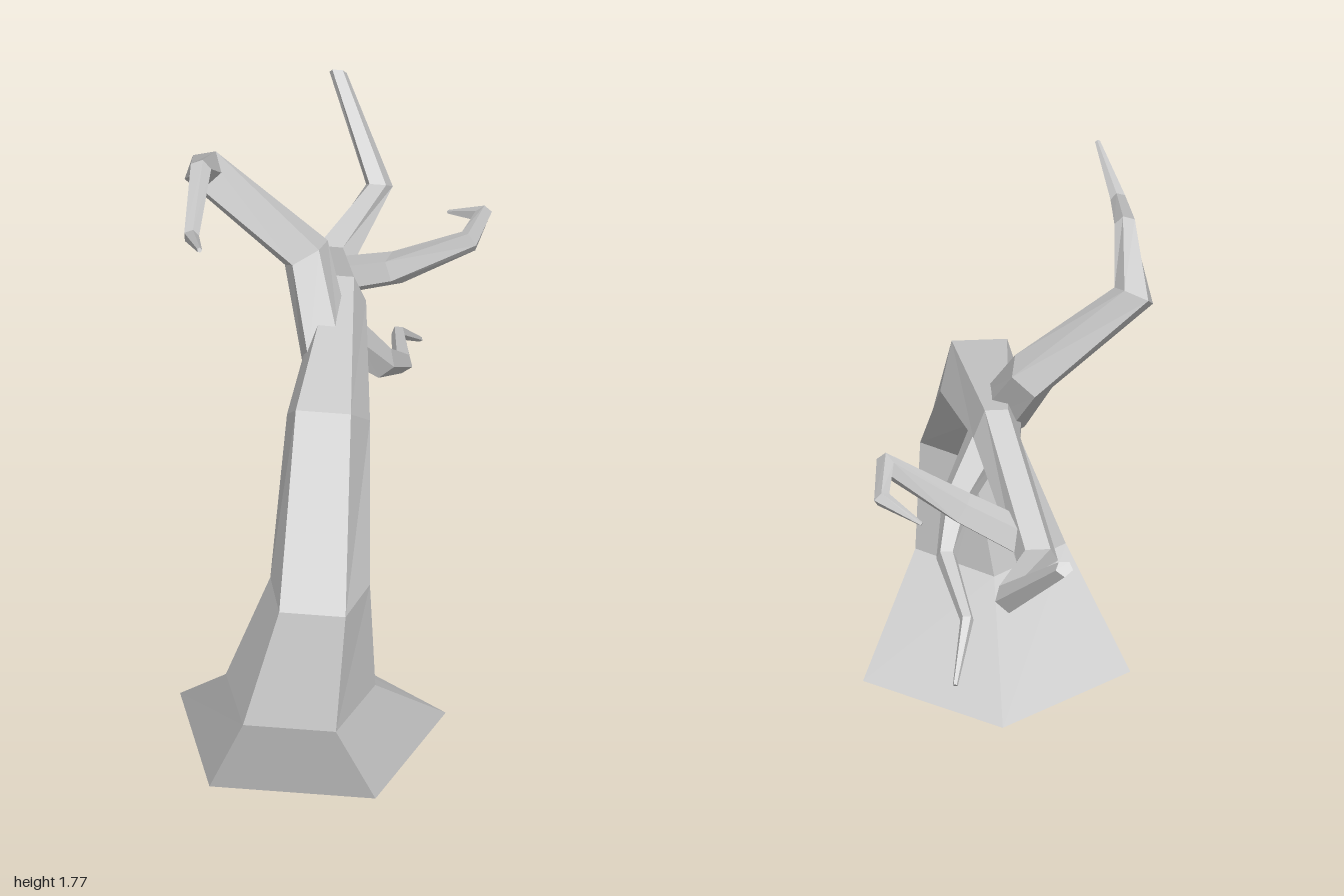
import * as THREE from 'three';

const SIDES = 5;

// Skin a list of five-cornered rings and close both ends
function skin(name, rings) {
  const pos = [];
  const tri = (a, b, c) => [a, b, c].forEach(p => pos.push(p.x, p.y, p.z));
  for (let r = 0; r < rings.length - 1; r++) {
    const a = rings[r], b = rings[r + 1];
    for (let i = 0; i < SIDES; i++) {
      const j = (i + 1) % SIDES;
      tri(a[i], a[j], b[j]);
      tri(a[i], b[j], b[i]);
    }
  }
  const first = rings[0], last = rings[rings.length - 1];
  for (let i = 1; i < SIDES - 1; i++) {
    tri(first[0], first[i + 1], first[i]);
    tri(last[0], last[i], last[i + 1]);
  }
  const geo = new THREE.BufferGeometry();
  geo.setAttribute('position', new THREE.Float32BufferAttribute(pos, 3));
  geo.computeVertexNormals();
  const mesh = new THREE.Mesh(geo, new THREE.MeshStandardMaterial({ color: 0xcccccc, flatShading: true }));
  mesh.name = name;
  return mesh;
}

// Tapered, kinked branch through points [x, y, z, radius]
function branch(name, points, hint) {
  const p = points.map(q => new THREE.Vector3(q[0], q[1], q[2]));
  const normal = new THREE.Vector3(...hint);
  const rings = p.map((c, k) => {
    const t = new THREE.Vector3();
    if (k > 0) t.add(c.clone().sub(p[k - 1]).normalize());
    if (k < p.length - 1) t.add(p[k + 1].clone().sub(c).normalize());
    t.normalize();
    normal.addScaledVector(t, -normal.dot(t)).normalize();
    const side = new THREE.Vector3().crossVectors(t, normal);
    return Array.from({ length: SIDES }, (_, i) => {
      const a = ((i - 0.5) / SIDES) * Math.PI * 2;
      return c.clone()
        .addScaledVector(normal, Math.cos(a) * points[k][3])
        .addScaledVector(side, Math.sin(a) * points[k][3]);
    });
  });
  return skin(name, rings);
}

export function createModel() {
  const tree = new THREE.Group();
  tree.name = 'bareTree';

  // Trunk bending back into the main limb:
  // centre x, outer half width, outer y, z, side half width, side y, z, inner y, z
  const trunkRings = [
    [0.01, 0.25, 0, 0.93, 0.4, 0, 0.455, 0, 0.17],
    [0.01, 0.14, 0.28, 1.0, 0.225, 0.28, 0.74, 0.28, 0.57],
    [0.07, 0.1, 0.65, 0.93, 0.15, 0.65, 0.75, 0.65, 0.64],
    [0.055, 0.083, 1.13, 0.56, 0.125, 1.03, 0.44, 0.97, 0.37],
    [0.04, 0.035, 1.24, 0, 0.07, 1.15, -0.01, 1.1, 0],
    [-0.055, 0.038, 1.03, -0.45, 0.062, 0.97, -0.42, 0.91, -0.4],
    [0.053, 0.025, 1.08, -0.72, 0.04, 1.05, -0.76, 1.02, -0.78],
    [-0.1, 0.016, 1.315, -0.965, 0.026, 1.295, -0.98, 1.28, -0.995],
  ].map(([cx, wo, yo, zo, ws, ys, zs, yi, zi]) => [
    new THREE.Vector3(cx - wo, yo, zo),
    new THREE.Vector3(cx + wo, yo, zo),
    new THREE.Vector3(cx + ws, ys, zs),
    new THREE.Vector3(cx, yi, zi),
    new THREE.Vector3(cx - ws, ys, zs),
  ]);
  tree.add(skin('trunk', trunkRings));

  // Upper branch curling forward
  tree.add(branch('upperBranch', [
    [0.02, 1.09, 0.2, 0.085],
    [-0.065, 1.335, 0.035, 0.078],
    [-0.375, 1.61, 0.03, 0.066],
    [-0.36, 1.742, 0.22, 0.033],
    [-0.355, 1.67, 0.47, 0.024],
    [-0.305, 1.755, 0.66, 0.008],
  ], [0, 0.6, 1]));

  // Side branch with a hooked tip
  tree.add(branch('hookedBranch', [
    [-0.04, 0.99, -0.35, 0.06],
    [0.16, 1.08, -0.29, 0.052],
    [0.39, 1.225, -0.255, 0.036],
    [0.41, 1.21, -0.42, 0.027],
    [0.295, 1.16, -0.49, 0.006],
  ], [0, 1, 0]));

  // Thin drooping branch
  tree.add(branch('lowerBranch', [
    [0.05, 1.1, 0.1, 0.07],
    [0.155, 0.94, 0, 0.05],
    [0.2, 0.83, -0.16, 0.032],
    [0.155, 0.765, -0.41, 0.021],
    [0.2, 0.635, -0.57, 0.008],
  ], [0, 1, -1]));

  return tree;
}
